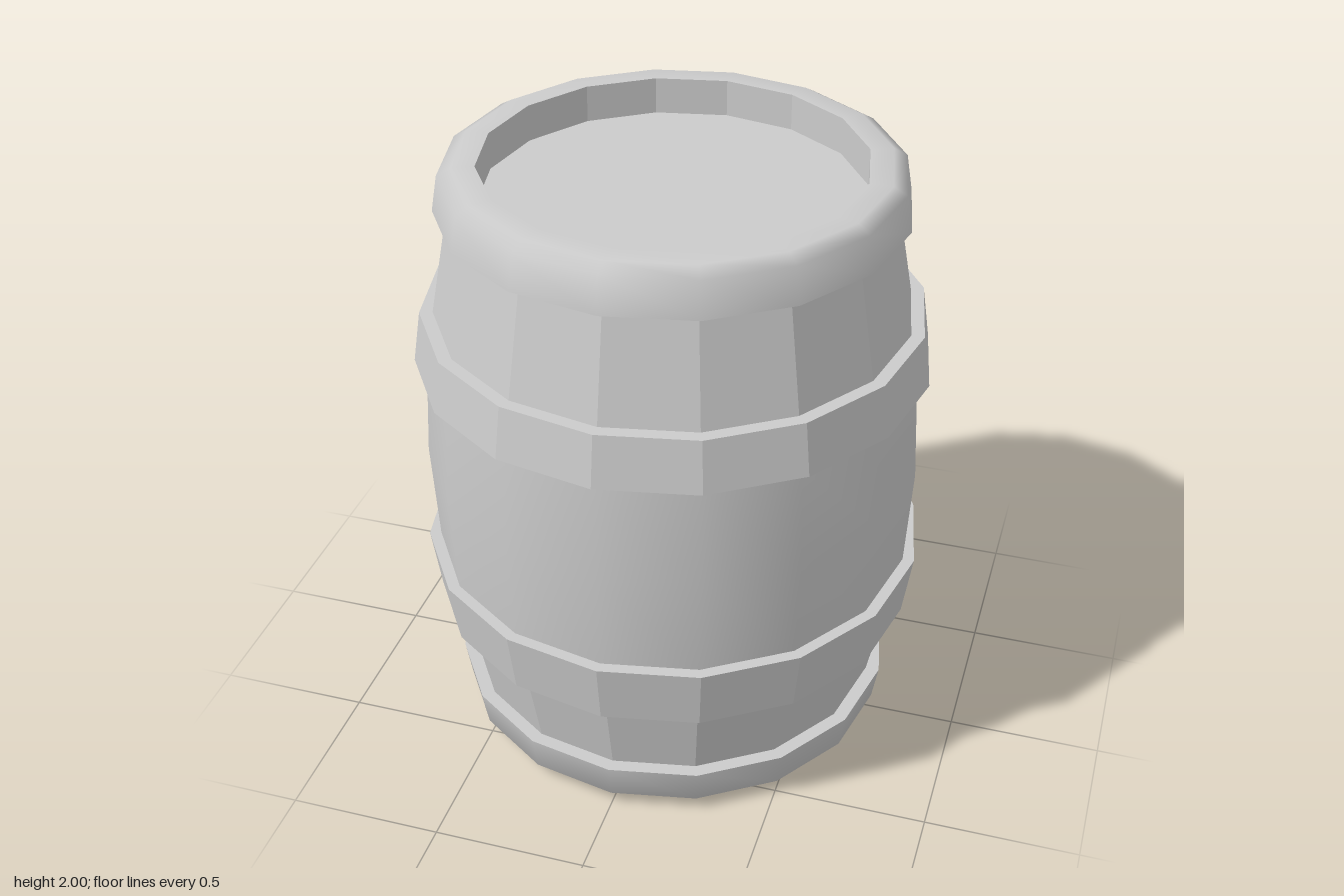
import * as THREE from 'three';

const SIDES = 16;

// Turns a profile of [radius, height] points, listed so the outside lies to its right
function turned(name, profile, flatShading) {
  const points = profile.map(([r, y]) => new THREE.Vector2(r, y));
  const material = new THREE.MeshStandardMaterial({ color: 0xcccccc, flatShading });
  const mesh = new THREE.Mesh(new THREE.LatheGeometry(points, SIDES), material);
  mesh.name = name;
  return mesh;
}

export function createModel() {
  const barrel = new THREE.Group();
  barrel.name = 'barrel';

  // Smooth foot rim with the closed underside
  barrel.add(turned('bottomRim', [[0, 0], [0.65, 0], [0.715, 0.05], [0.735, 0.17]], false));
  barrel.add(turned('bottomRimLedge', [[0.735, 0.17], [0.69, 0.17]], true));

  // Faceted staves, and the smooth bulging belly between the hoops
  barrel.add(turned('lowerStaves', [[0.69, 0.17], [0.745, 0.45]], true));
  barrel.add(turned('belly', [[0.785, 0.66], [0.803, 1], [0.785, 1.34]], false));
  barrel.add(turned('upperStaves', [[0.755, 1.51], [0.69, 1.86]], true));

  // Hoops with their narrow ledges
  barrel.add(turned('lowerHoop', [[0.745, 0.45], [0.793, 0.45], [0.823, 0.66], [0.785, 0.66]], true));
  barrel.add(turned('upperHoop', [[0.785, 1.34], [0.823, 1.34], [0.797, 1.51], [0.755, 1.51]], true));

  // Smooth top rim
  barrel.add(turned('topRimLedge', [[0.69, 1.86], [0.733, 1.86]], true));
  barrel.add(turned('topRim', [[0.733, 1.86], [0.713, 1.975], [0.67, 2], [0.597, 2]], false));

  // Recessed lid
  barrel.add(turned('lidWall', [[0.597, 2], [0.597, 1.88]], true));
  barrel.add(turned('lid', [[0.597, 1.88], [0, 1.88]], true));

  return barrel;
}
